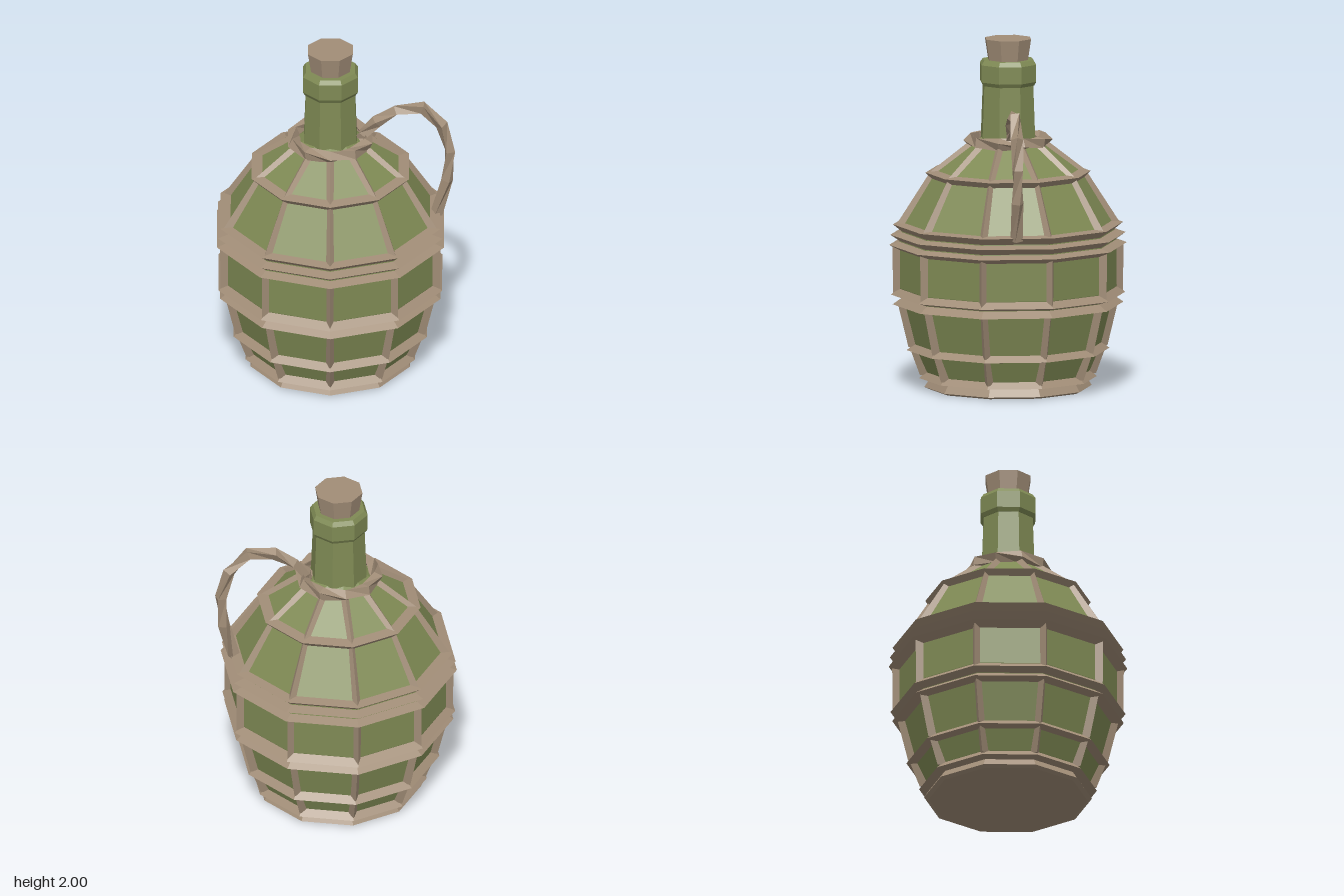
import * as THREE from 'three';

const SIDES = 10;

export function createModel() {
  const model = new THREE.Group();
  const glass = new THREE.MeshStandardMaterial({ color: 0x7f8a54 });
  glass.name = 'green glass';
  const wicker = new THREE.MeshStandardMaterial({ color: 0xa18d77 });
  wicker.name = 'tan wicker';
  for (const m of [glass, wicker]) m.flatShading = true;

  const add = (name, geometry, material, parent) => {
    const mesh = new THREE.Mesh(geometry, material);
    mesh.name = name;
    parent.add(mesh);
    return mesh;
  };
  // Faceted solid of revolution from [radius, height] pairs, bottom to top
  const lathe = (pts, sides = SIDES, start = 0) =>
    new THREE.LatheGeometry(pts.map(p => new THREE.Vector2(...p)), sides, start);

  // Surface from loops of points, with both ends capped unless closed
  const loft = (loops, closed = false) => {
    const n = loops[0].length, pos = loops.flat(2), idx = [];
    const rows = closed ? loops.length : loops.length - 1;
    for (let i = 0; i < rows; i++) {
      for (let j = 0; j < n; j++) {
        const k = (j + 1) % n, a = i * n, b = ((i + 1) % loops.length) * n;
        idx.push(a + j, a + k, b + k, a + j, b + k, b + j);
      }
    }
    if (!closed) {
      const last = (loops.length - 1) * n;
      for (let j = 1; j < n - 1; j++) {
        idx.push(0, j + 1, j, last, last + j, last + j + 1);
      }
    }
    const g = new THREE.BufferGeometry();
    g.setAttribute('position', new THREE.Float32BufferAttribute(pos, 3));
    g.setIndex(idx);
    g.computeVertexNormals();
    return g;
  };

  // Square-section twisted strand; each frame is a centre, a normal and a binormal
  const strand = (frames, radius, twist, closed) => loft(frames.map(([c, n, b], i) =>
    [0, 1, 2, 3].map(j => {
      const a = j * Math.PI / 2 + i * twist;
      return c.clone().addScaledVector(n, radius * Math.cos(a))
        .addScaledVector(b, radius * Math.sin(a)).toArray();
    })), closed);

  // Bottle, centred a little off the origin to make room for the handle
  const bottle = new THREE.Group();
  bottle.name = 'bottle';
  bottle.position.x = -0.035;
  model.add(bottle);

  add('glassBody', lathe([
    [0.43, 0.03], [0.47, 0.1], [0.53, 0.24], [0.595, 0.5], [0.622, 0.58],
    [0.622, 0.81], [0.597, 0.945], [0.42, 1.235], [0.19, 1.41], [0.13, 1.45],
  ]), glass, bottle);

  // Eight-sided neck, collar and cork with flats to the front
  const OCT = 1 / Math.cos(Math.PI / 8);
  const octagon = pts => lathe(pts.map(([r, y]) => [r * OCT, y]), 8, Math.PI / 8);
  add('neck', octagon([[0.152, 1.36], [0.138, 1.76]]), glass, bottle);
  add('collar', octagon([
    [0.13, 1.735], [0.143, 1.735], [0.155, 1.757], [0.155, 1.855], [0.139, 1.88], [0, 1.88],
  ]), glass, bottle);
  add('cork', octagon([[0.108, 1.87], [0.127, 2], [0, 2]]), wicker, bottle);

  // Base plate
  add('base', lathe([[0, 0], [0.45, 0], [0.475, 0.012], [0.447, 0.055], [0.4, 0.058]]), wicker, bottle);

  // Horizontal bands: inner radius, bottom, outer radius, its height, inner radius, top
  const bands = new THREE.Group();
  bands.name = 'wickerBands';
  bottle.add(bands);
  [
    [0.44, 0.055, 0.503, 0.062, 0.467, 0.1],
    [0.52, 0.215, 0.575, 0.223, 0.53, 0.262],
    [0.58, 0.476, 0.655, 0.486, 0.6, 0.525],
    [0.6, 0.525, 0.665, 0.542, 0.62, 0.578],
    [0.62, 0.797, 0.675, 0.826, 0.61, 0.845],
    [0.61, 0.845, 0.668, 0.884, 0.6, 0.9],
    [0.6, 0.9, 0.653, 0.943, 0.592, 0.952],
    [0.43, 1.195, 0.468, 1.237, 0.405, 1.248],
  ].forEach(([r0, y0, r1, y1, r2, y2], i) =>
    add('band' + (i + 1), lathe([[r0, y0], [r1, y1], [r2, y2]]), wicker, bands));

  // Upright ribs, wedge-shaped, along every corner of the body
  const ribs = new THREE.Group();
  ribs.name = 'wickerRibs';
  bottle.add(ribs);
  const section = (r, y) => [[-0.024, y, r - 0.045], [0.024, y, r - 0.045], [0, y, r]];
  [
    [0.5, 0.08, 0.553, 0.225],
    [0.565, 0.24, 0.625, 0.49],
    [0.653, 0.55, 0.655, 0.82],
    [0.635, 0.94, 0.452, 1.225],
    [0.45, 1.235, 0.225, 1.41],
  ].forEach(([r0, y0, r1, y1]) => {
    // Section loops run anticlockwise as seen from below
    const g = loft([section(r0, y0).reverse(), section(r1, y1).reverse()]);
    const inside = ribFacesInward(g);
    if (inside) g.setIndex(Array.from(g.index.array).reverse());
    for (let i = 0; i < SIDES; i++) {
      add('rib', g, wicker, ribs).rotation.y = i * 2 * Math.PI / SIDES;
    }
  });

  // Twisted rope around the foot of the neck
  const up = new THREE.Vector3(0, 1, 0);
  const ring = Array.from({ length: SIDES }, (_, i) => {
    const a = i * 2 * Math.PI / SIDES;
    const out = new THREE.Vector3(Math.sin(a), 0, Math.cos(a));
    return [out.clone().multiplyScalar(0.215).setY(1.42), out, up.clone().negate()];
  });
  add('neckRope', strand(ring, 0.038, Math.PI / 5, true), wicker, bottle);

  // Twisted loop handle from the neck rope to the shoulder
  const path = [
    [0.12, 1.4], [0.15, 1.45], [0.225, 1.53], [0.335, 1.605], [0.485, 1.622],
    [0.595, 1.51], [0.642, 1.34], [0.625, 1.15], [0.565, 0.93],
  ].map(([x, y]) => new THREE.Vector3(x, y, 0));
  const side = new THREE.Vector3(0, 0, 1);
  const frames = path.map((p, i) => {
    const t = path[Math.min(i + 1, path.length - 1)].clone()
      .sub(path[Math.max(i - 1, 0)]).normalize();
    return [p, side, t.clone().cross(side)];
  });
  add('handle', strand(frames, 0.036, Math.PI / 5, false), wicker, model);

  return model;
}

// True when the signed volume is negative, so the faces need turning round
function ribFacesInward(g) {
  const p = g.attributes.position, idx = g.index.array;
  const [a, b, c] = [0, 1, 2].map(() => new THREE.Vector3());
  let volume = 0;
  for (let i = 0; i < idx.length; i += 3) {
    [a, b, c].forEach((v, k) => v.fromBufferAttribute(p, idx[i + k]));
    volume += a.dot(b.cross(c));
  }
  return volume < 0;
}
